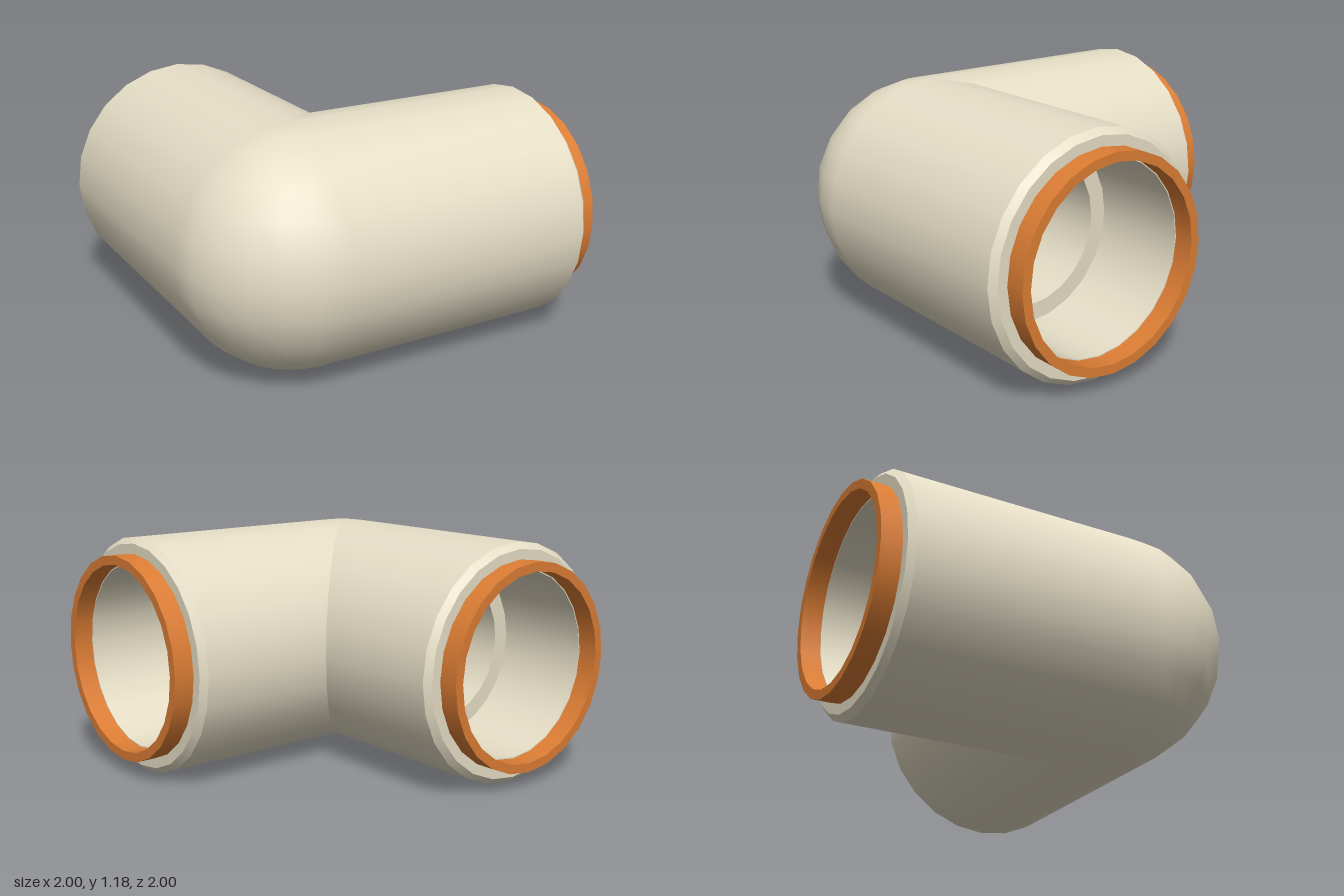
import * as THREE from 'three';
import { mergeGeometries } from 'three/addons/utils/BufferGeometryUtils.js';

const SIDES = 24;
const OUTER = 0.59;   // outer pipe radius
const BORE = 0.375;   // narrow inner bore radius
const SOCKET = 0.46;  // wider socket radius at each mouth

// Revolve a profile of [radius, distance] points around +x, one band per
// segment so that corners stay sharp. Points at distance 0 are mitred where
// the two arms of the elbow meet.
function revolve(profile) {
  const bands = [];
  for (let i = 0; i < profile.length - 1; i++) {
    const points = [profile[i], profile[i + 1]].map(([r, d]) => new THREE.Vector2(r, d));
    const band = new THREE.LatheGeometry(points, SIDES);
    const pos = band.attributes.position;
    for (let k = 0; k < pos.count; k++) {
      if (Math.abs(pos.getY(k)) < 1e-6) pos.setY(k, Math.max(0, -pos.getZ(k)));
    }
    bands.push(band);
  }
  return mergeGeometries(bands).rotateZ(-Math.PI / 2);
}

// Quarter sphere closing the outside of the bend
function quarterDome(radius) {
  return new THREE.SphereGeometry(radius, SIDES / 4, SIDES / 2, 0, Math.PI / 2);
}

function addMesh(parent, name, geometry, material) {
  const mesh = new THREE.Mesh(geometry, material);
  mesh.name = name;
  parent.add(mesh);
}

export function createModel() {
  const model = new THREE.Group();
  model.name = 'pipeElbow';

  const cream = new THREE.MeshStandardMaterial({ color: 0xe6dec6 });
  const creamInside = new THREE.MeshStandardMaterial({ color: 0xe6dec6, side: THREE.BackSide });
  const orange = new THREE.MeshStandardMaterial({ color: 0xdc7d34 });

  // Pipe wall: outside, chamfered rim, socket, shoulder and bore
  const wall = revolve([
    [OUTER, 0], [OUTER, 1.28], [0.56, 1.31], [SOCKET, 1.31],
    [SOCKET, 0.82], [BORE, 0.82], [BORE, 0],
  ]);

  // Seal ring standing out of the mouth
  const ring = revolve([[0.51, 1.31], [0.51, 1.41], [0.465, 1.41], [0.465, 1.31]]);

  // Two arms meeting at the corner, one to the left and one to the back
  const elbow = new THREE.Group();
  elbow.name = 'elbow';
  elbow.position.set(-0.41, OUTER, 0.41);
  model.add(elbow);

  for (const name of ['leftArm', 'backArm']) {
    const arm = new THREE.Group();
    arm.name = name;
    if (name === 'backArm') arm.rotation.set(Math.PI, -Math.PI / 2, 0);
    addMesh(arm, 'pipeWall', wall, cream);
    addMesh(arm, 'sealRing', ring, orange);
    elbow.add(arm);
  }

  // Rounded corner, outside and inside
  addMesh(elbow, 'outerCorner', quarterDome(OUTER), cream);
  addMesh(elbow, 'innerCorner', quarterDome(BORE), creamInside);

  return model;
}
